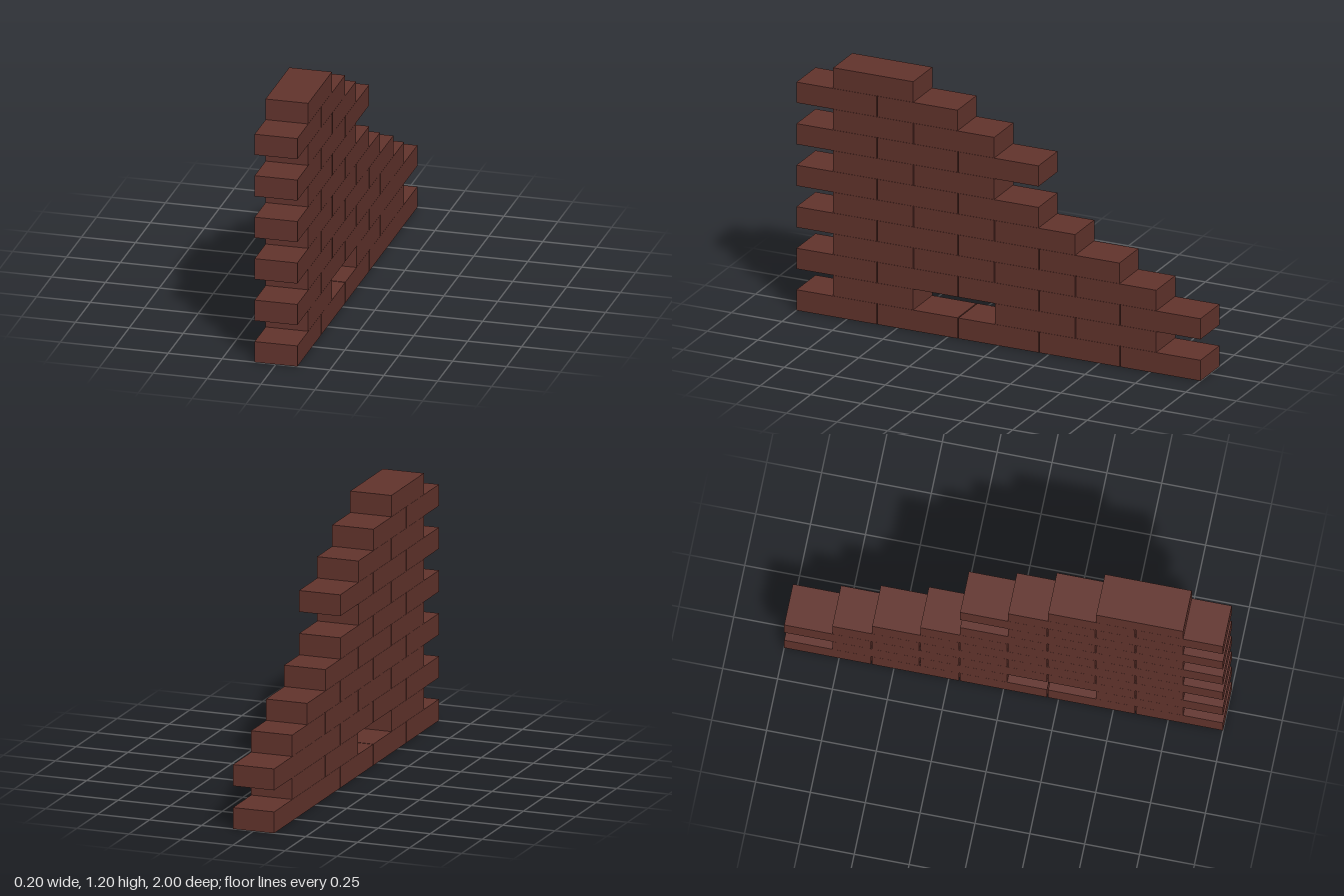
import * as THREE from 'three';

export function createModel() {
  const wall = new THREE.Group();
  wall.name = 'brickWall';
  const brickRed = new THREE.MeshStandardMaterial({ color: 0x63342d });
  brickRed.name = 'brickRed';

  const PITCH = 0.401, LENGTH = 0.396, RISE = 0.0997, HEIGHT = 0.099, WIDTH = 0.198;
  const brick = new THREE.BoxGeometry(WIDTH, HEIGHT, LENGTH);

  // Bricks per course, bottom to top; every second course is set back half a brick
  const courses = [5, 4, 5, 4, 4, 3, 3, 2, 3, 2, 2, 1];
  courses.forEach((count, row) => {
    const course = new THREE.Group();
    course.name = `course${row + 1}`;
    const start = row % 2 ? 0.818 : 1;
    for (let i = 0; i < count; i++) {
      // Opening left by a missing brick in the second course
      if (row === 1 && i === 1) continue;
      const mesh = new THREE.Mesh(brick, brickRed);
      mesh.name = 'brick';
      mesh.position.set(0, row * RISE + HEIGHT / 2, start - LENGTH / 2 - i * PITCH);
      course.add(mesh);
    }
    wall.add(course);
  });
  return wall;
}
